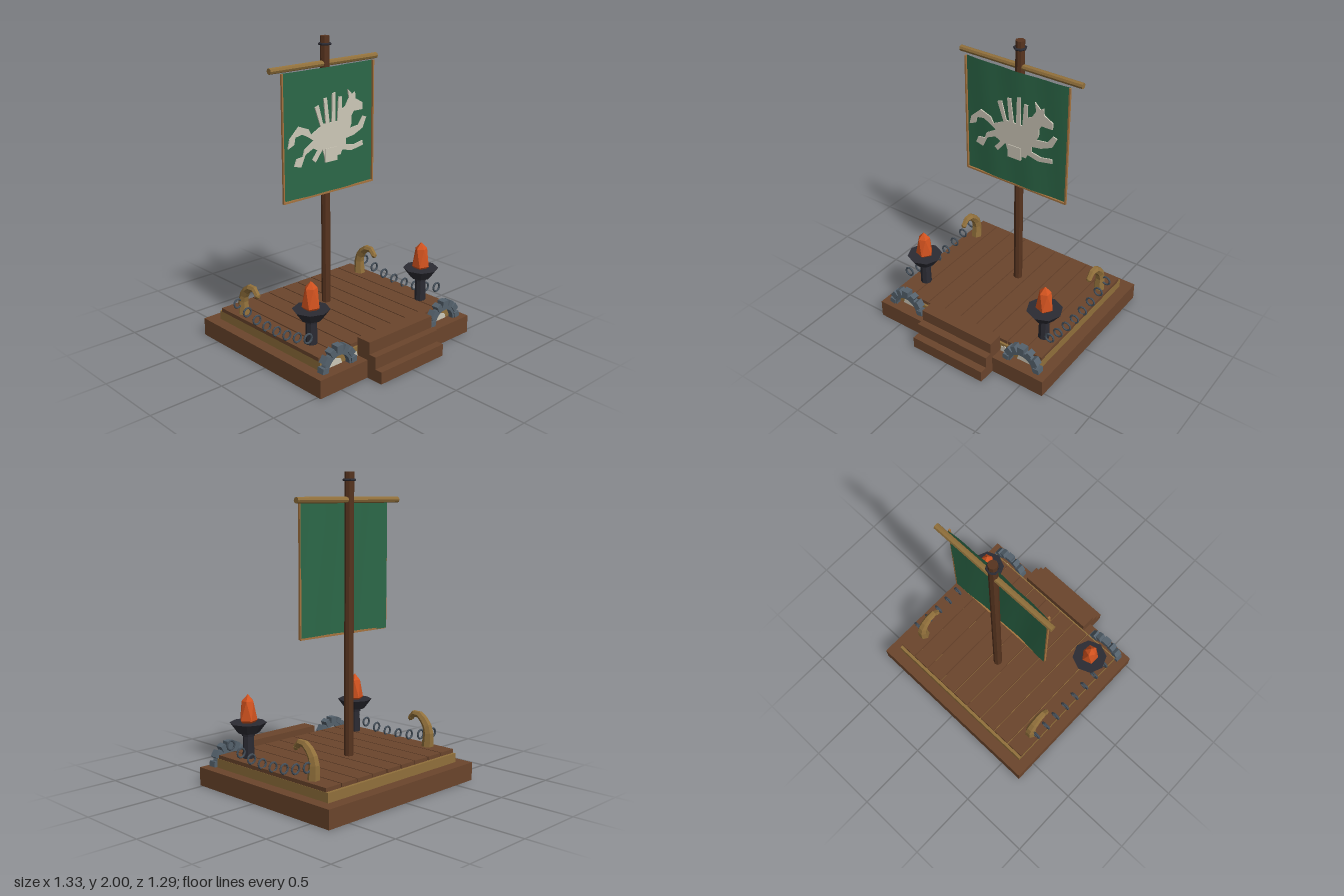
import * as THREE from 'three';

const mat = (name, color, extra = {}) =>
  Object.assign(new THREE.MeshStandardMaterial({ color, flatShading: true, ...extra }), { name });

export function createModel() {
  const root = new THREE.Group();
  root.name = 'bannerPlatform';
  const brown = mat('brown wood', 0x6b452c), darkWood = mat('dark wood', 0x57341f);
  const tan = mat('tan wood', 0x91703b), trim = mat('ochre trim', 0xa5733f);
  const green = mat('green cloth', 0x2c6848, { side: THREE.DoubleSide, flatShading: false });
  const cream = mat('cream paint', 0xcdc8b8), charcoal = mat('charcoal iron', 0x2b2b33);
  const slate = mat('slate stone', 0x54616c), steel = mat('dark steel', 0x434d57);
  const orange = mat('orange flame', 0xd4531f);

  const add = (name, geo, material, x = 0, y = 0, z = 0, parent = root) => {
    const m = new THREE.Mesh(geo, material);
    m.name = name;
    m.position.set(x, y, z);
    parent.add(m);
    return m;
  };
  // box given by its min and max on each axis
  const slab = (name, material, x0, x1, y0, y1, z0, z1) =>
    add(name, new THREE.BoxGeometry(x1 - x0, y1 - y0, z1 - z0), material,
      (x0 + x1) / 2, (y0 + y1) / 2, (z0 + z1) / 2);

  // platform, frame and planks
  slab('base', brown, -0.665, 0.665, 0, 0.12, -0.65, 0.525);
  slab('deckFrame', tan, -0.59, 0.59, 0.12, 0.18, -0.57, 0.437);
  for (let i = 0; i < 9; i++) {
    const x = -0.59 + i * 0.1317;
    slab('plank', brown, x, x + 0.1244, 0.18, 0.205, -0.55, 0.422);
  }
  // stairs, each a little deeper than the one above
  [0.645, 0.593, 0.541].forEach((z, i) =>
    slab('step', brown, -0.28, 0.28, i * 0.081, (i + 1) * 0.081, 0.437, z));

  // pole, iron ring and crossbar
  const poleZ = -0.165;
  add('pole', new THREE.CylinderGeometry(0.03, 0.03, 1.8, 8), darkWood, 0, 1.1, poleZ);
  add('poleRing', new THREE.TorusGeometry(0.036, 0.008, 6, 7).rotateX(Math.PI / 2), charcoal, 0, 1.95, poleZ);
  add('crossbar', new THREE.CylinderGeometry(0.02, 0.02, 0.9, 8).rotateZ(Math.PI / 2), tan, 0, 1.828, poleZ);

  // gently billowing banner
  const cloth = new THREE.PlaneGeometry(0.77, 0.82, 20, 12);
  const cp = cloth.attributes.position;
  for (let i = 0; i < cp.count; i++) {
    const x = cp.getX(i), y = cp.getY(i);
    cp.setZ(i, 0.012 * Math.cos(x * Math.PI / 0.77) + 0.0025 * Math.sin(x * 22 + y * 3));
  }
  cloth.computeVertexNormals();
  add('banner', cloth, green, 0, 1.4, -0.134);
  for (const s of [-1, 1])
    slab('bannerSideTrim', trim, s * 0.385 - 0.005, s * 0.385 + 0.005, 0.99, 1.81, -0.132, -0.118);
  slab('bannerBottomTrim', trim, -0.385, 0.385, 0.986, 0.998, -0.132, -0.12);

  // leaping beast emblem, in hundredths from the middle of the banner
  const beast = [
    [-35.5, -6], [-34, 0], [-26.5, 7], [-18.5, 4], [-16.5, 0], [-8.5, 4], [-13.2, 17], [-10, 18], [-6.5, 5.5],
    [-4.2, 5.5], [-5.8, 21.5], [-3.2, 22], [-1, 5.5], [1, 5.5], [1.6, 24], [4.2, 24.5], [4.2, 5.5], [5.8, 5.5],
    [6.9, 21], [9.5, 21], [9.5, 12.5], [12.7, 14], [15.9, 19], [14.8, 25], [19, 21], [21.2, 22.5], [21.7, 18],
    [28, 14.5], [28, 10], [20, 10], [18, 7], [18, 2], [16.5, -1], [24.5, 0], [28.5, 5.5], [31.5, 4.5], [28, -2.5],
    [20, -6], [13, -7], [13, -11], [20, -12.5], [28, -11], [28.5, -14], [18, -16], [10, -14], [8.5, -17], [4.8, -17],
    [4.8, -20], [-4.8, -20], [-5.3, -16], [-7, -11], [-13, -18.5], [-15.5, -16.5], [-11, -11], [-15, -9], [-21.5, -12],
    [-25, -19.5], [-30.5, -18], [-28.5, -13.5], [-23.5, -13], [-22, -8.5], [-14.5, -4], [-19, -1], [-24, 1.5],
    [-29.5, 0.5], [-30.5, -4]];
  const emblem = new THREE.Shape(beast.map(([x, y]) => new THREE.Vector2(x / 100, y / 100)));
  add('bannerEmblem', new THREE.ExtrudeGeometry(emblem, { depth: 0.008, bevelEnabled: false }), cream, 0, 1.4, -0.119);
  slab('emblemPatch', cream, -0.05, 0.05, 1.2, 1.29, -0.111, -0.106);

  // flame: an upright faceted crystal, narrower towards its tip
  const flame = new THREE.IcosahedronGeometry(1, 0).rotateZ(Math.atan(2 / (1 + Math.sqrt(5))));
  const fp = flame.attributes.position;
  for (let i = 0; i < fp.count; i++) {
    const y = fp.getY(i), r = y > 0 ? 0.045 : 0.066;
    fp.setXYZ(i, fp.getX(i) * r, y * 0.115 + (y > 0.2 && y < 0.8 ? 0.02 : 0), fp.getZ(i) * r);
  }

  // curled horn: a six-sided tube tapered along its path
  const hornPath = new THREE.CatmullRomCurve3([[0.2, -0.385], [0.32, -0.387], [0.385, -0.345],
    [0.412, -0.3], [0.405, -0.26], [0.375, -0.238]].map(([y, z]) => new THREE.Vector3(0, y, z)));
  const horn = new THREE.TubeGeometry(hornPath, 7, 0.04, 6, false);
  const hp = horn.attributes.position, v = new THREE.Vector3();
  for (let i = 0; i < hp.count; i++) {
    const t = Math.floor(i / 7) / 7, c = hornPath.getPointAt(t);
    v.fromBufferAttribute(hp, i).sub(c).multiplyScalar(1 - 0.52 * t).add(c);
    hp.setXYZ(i, v.x, v.y, v.z);
  }

  const halfRing = new THREE.Shape();
  halfRing.absarc(0, 0, 0.122, 0, Math.PI, false);
  halfRing.absarc(0, 0, 0.085, Math.PI, 0, true);
  const archGeo = new THREE.ExtrudeGeometry(halfRing, { depth: 0.036, bevelEnabled: false, curveSegments: 8 });

  for (const s of [-1, 1]) {
    const side = new THREE.Group();
    side.name = s > 0 ? 'leftSide' : 'rightSide';
    root.add(side);

    // brazier
    const bx = s * 0.49, bz = 0.246;
    add('brazierStem', new THREE.CylinderGeometry(0.034, 0.038, 0.165, 8), charcoal, bx, 0.287, bz, side);
    add('brazierCollar', new THREE.CylinderGeometry(0.045, 0.04, 0.025, 8), charcoal, bx, 0.36, bz, side);
    add('brazierBowl', new THREE.CylinderGeometry(0.118, 0.07, 0.065, 8), charcoal, bx, 0.403, bz, side);
    add('flame', flame, orange, bx, 0.502, bz, side);

    // horn post
    add('horn', horn, tan, s * 0.527, 0, 0, side);
    add('hornTip', new THREE.IcosahedronGeometry(0.021, 0), tan, s * 0.527, 0.374, -0.238, side);

    // sagging row of chain rings
    for (let i = 0; i < 8; i++) {
      const z = -0.385 + i * 0.1, u = (z + 0.035) / 0.35;
      add('chainRing', new THREE.TorusGeometry(0.03, 0.007, 6, 10), steel, s * 0.577, 0.228 + 0.06 * u * u, z, side);
    }

    // stone arch with blocks around its rim
    const arch = new THREE.Group();
    arch.name = 'stoneArch';
    arch.position.set(s * 0.475, 0.12, 0.465);
    side.add(arch);
    add('archRing', archGeo, slate, 0, 0, -0.018, arch);
    for (let i = 0; i < 7; i++) {
      const a = 0.12 + i * (Math.PI - 0.24) / 6;
      const block = add('archBlock', new THREE.BoxGeometry(0.042, i % 2 ? 0.05 : 0.036, 0.052), slate,
        Math.cos(a) * 0.118, Math.sin(a) * 0.125 + 0.006, 0, arch);
      block.rotation.z = a;
    }

    // pale painted patches on the deck front
    const patch = (x, w) => {
      const p = new THREE.Shape([[-1, 0], [1, 0], [0.85, 0.03], [0.4, 0.04], [0.1, 0.052], [-0.4, 0.036], [-0.8, 0.04]]
        .map(([a, b]) => new THREE.Vector2(a * w, b)));
      add('palePatch', new THREE.ExtrudeGeometry(p, { depth: 0.005, bevelEnabled: false }), cream, x, 0.12, 0.436, side);
    };
    patch(s * 0.475, 0.06);
    patch(s * 0.315, 0.03);
  }
  return root;
}
